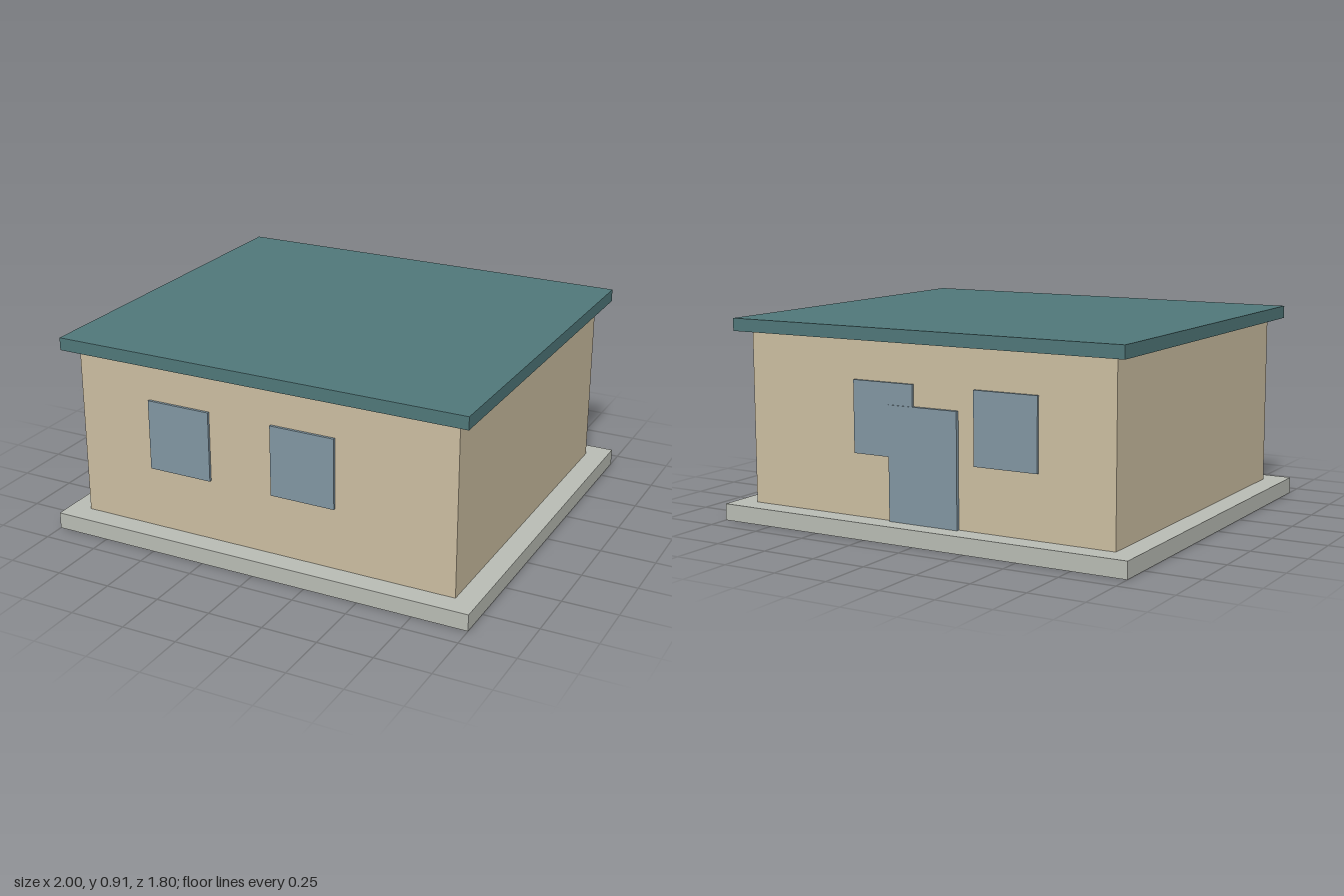
import * as THREE from 'three';

const material = (color) => new THREE.MeshStandardMaterial({ color });

export function createModel() {
  const house = new THREE.Group();
  house.name = 'house';

  const concrete = material(0xbabdb5);
  const plaster = material(0xcdbfa2);
  const roofing = material(0x50787a);
  const glass = material(0x8297a3);

  // Box from its extents along each axis
  const box = (name, mat, [x0, x1], [y0, y1], [z0, z1]) => {
    const mesh = new THREE.Mesh(new THREE.BoxGeometry(x1 - x0, y1 - y0, z1 - z0), mat);
    mesh.position.set((x0 + x1) / 2, (y0 + y1) / 2, (z0 + z1) / 2);
    mesh.name = name;
    house.add(mesh);
  };

  // Base slab, walls and overhanging flat roof
  box('foundation', concrete, [-1, 1], [0, 0.075], [-0.9, 0.9]);
  box('walls', plaster, [-0.9, 0.9], [0.075, 0.853], [-0.8, 0.8]);
  box('roof', roofing, [-0.96, 0.96], [0.853, 0.91], [-0.86, 0.86]);

  // Matching pairs of windows on the front and back walls
  for (const x of [-0.4, 0.2]) {
    const across = [x - 0.15, x + 0.15];
    box('frontWindow', glass, across, [0.355, 0.675], [0.79, 0.812]);
    box('backWindow', glass, across, [0.355, 0.675], [-0.812, -0.79]);
  }

  // Door in the middle of the back wall, slightly proud of the windows
  box('backDoor', glass, [-0.17, 0.17], [0.075, 0.58], [-0.816, -0.79]);

  return house;
}
